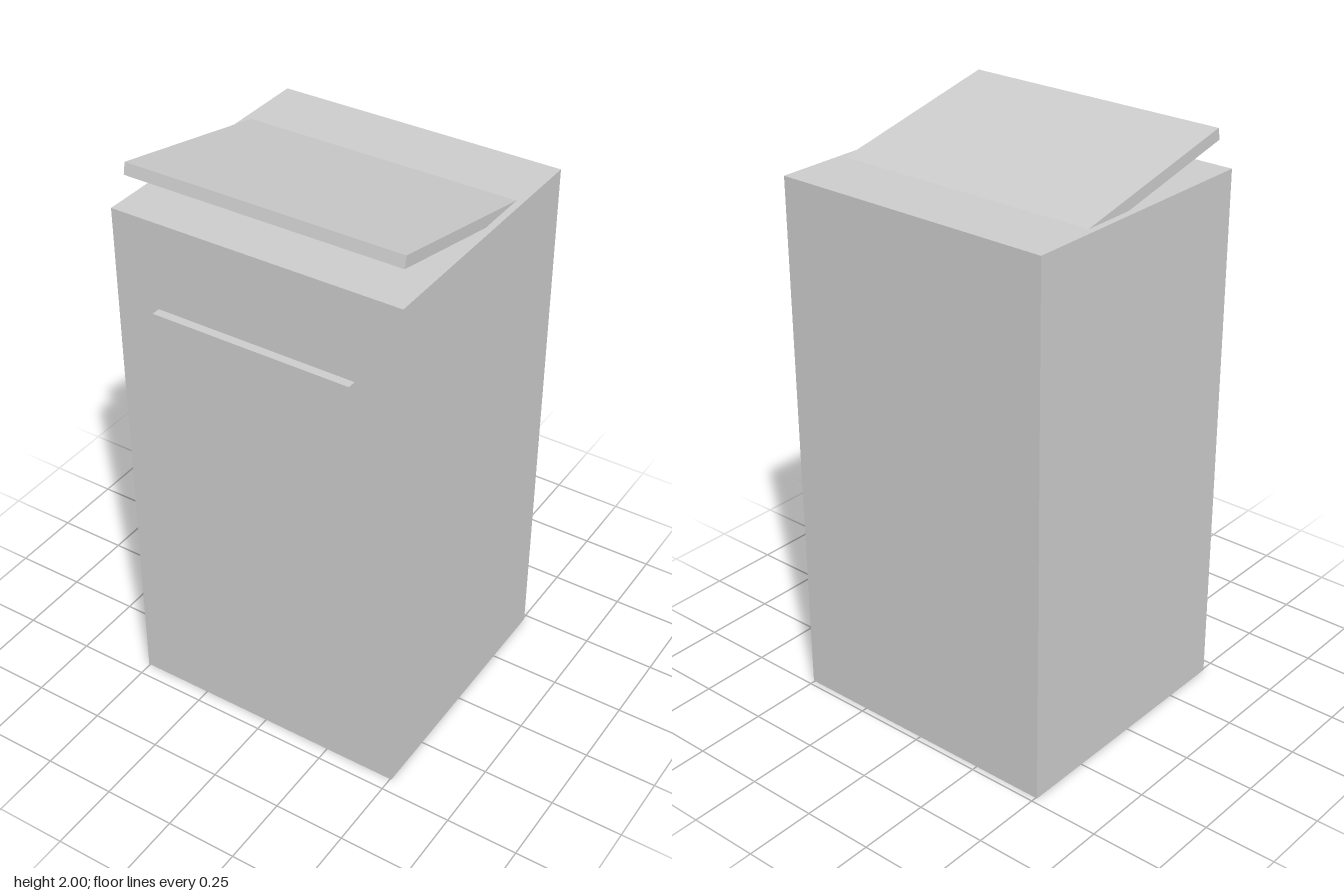
import * as THREE from 'three';

export function createModel() {
  const group = new THREE.Group();
  const lightGrey = new THREE.MeshStandardMaterial({ color: 0xcccccc });
  lightGrey.name = 'lightGrey';

  const addBox = (name, size, position) => {
    const mesh = new THREE.Mesh(new THREE.BoxGeometry(...size), lightGrey);
    mesh.name = name;
    mesh.position.set(...position);
    group.add(mesh);
    return mesh;
  };

  // Tall bin body and raised front plate
  addBox('body', [1.01, 1.862, 0.93], [0, 0.931, -0.015]);
  addBox('frontPlate', [0.7, 0.39, 0.03], [0, 1.365, 0.465]);

  // Tilted lid, open at the front, its back end sunk into the body
  const tilt = 0.213, length = 0.75, thickness = 0.04;
  const c = Math.cos(tilt), s = Math.sin(tilt);
  const lid = addBox('lid', [0.963, thickness, length], [
    0,
    2 - s * length / 2 - c * thickness / 2,
    0.4 - c * length / 2 + s * thickness / 2,
  ]);
  lid.rotation.x = -tilt;

  return group;
}
